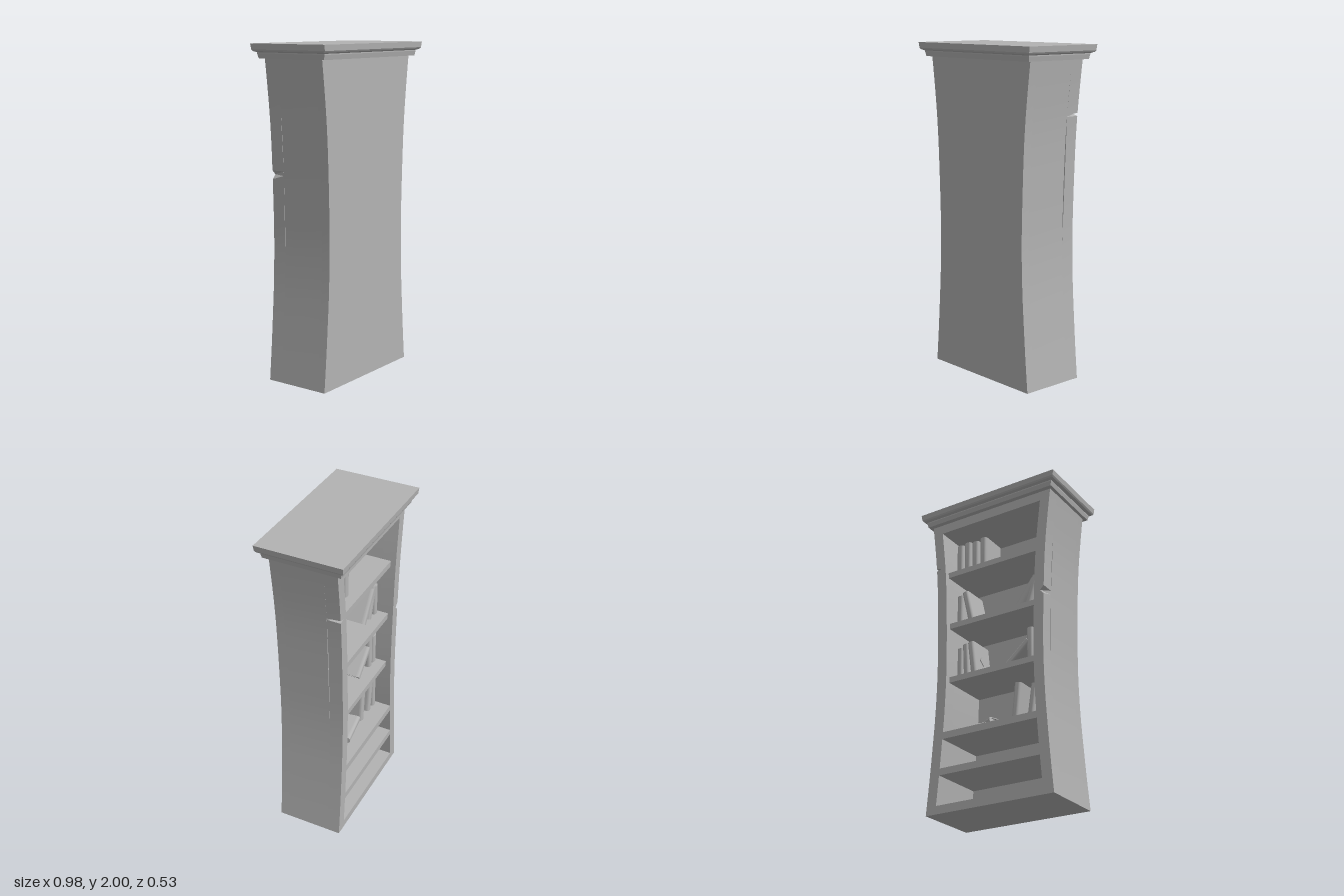
import * as THREE from 'three';
import { toCreasedNormals, mergeGeometries } from 'three/addons/utils/BufferGeometryUtils.js';

const stone = new THREE.MeshStandardMaterial({ color: 0xb3b3b3 });
stone.name = 'plain grey';

const WALL = 0.065, TOP = 1.925;
const FRONT = -0.205, NOTCH_END = -0.12, INNER_BACK = 0.15, BACK = 0.205;

// Waisted half width of the case, as a curve over height
const waist = new THREE.SplineCurve([
  [0.422, 0], [0.404, 0.2], [0.389, 0.4], [0.376, 0.6], [0.369, 0.85],
  [0.373, 1.1], [0.384, 1.4], [0.398, 1.6], [0.42, 1.8], [0.436, TOP],
].map(([x, y]) => new THREE.Vector2(x, y))).getPoints(72);

function halfWidth(y) {
  const i = Math.max(1, waist.findIndex((p) => p.y >= y - 1e-9));
  const a = waist[i - 1], b = waist[i];
  return a.x + (b.x - a.x) * (y - a.y) / (b.y - a.y);
}

// Side edge points from y0 up to y1, set in from the waist curve
function edge(y0, y1, inset, sign) {
  const n = Math.max(2, Math.ceil((y1 - y0) / 0.08));
  return Array.from({ length: n + 1 }, (_, i) => {
    const y = y0 + (y1 - y0) * i / n;
    return new THREE.Vector2(sign * (halfWidth(y) - inset), y);
  });
}

// Chips in the front edges of the two sides
const notches = [
  { sign: 1, y: 1.597, half: 0.009, deep: 0.035 },
  { sign: -1, y: 1.24, half: 0.026, deep: 0.025 },
];

function outline(notched) {
  const side = (sign) => {
    let pts = edge(0, TOP, 0, sign);
    for (const n of notches.filter((k) => notched && k.sign === sign)) {
      pts = pts.filter((p) => Math.abs(p.y - n.y) > n.half + 0.004);
      for (const dy of [-n.half, 0, n.half]) {
        pts.push(new THREE.Vector2(sign * (halfWidth(n.y + dy) - (dy ? 0 : n.deep)), n.y + dy));
      }
      pts.sort((a, b) => a.y - b.y);
    }
    return pts;
  };
  return [...side(1), ...side(-1).reverse()];
}

function slab(z0, z1, open, notched) {
  const shape = new THREE.Shape(outline(notched));
  if (open) {
    for (const [a, b] of [[0.05, 0.229], [0.27, 0.448], [0.49, 1.855]]) {
      shape.holes.push(new THREE.Path([...edge(a, b, WALL, 1), ...edge(a, b, WALL, -1).reverse()]));
    }
  }
  const geo = new THREE.ExtrudeGeometry(shape, { depth: z1 - z0, bevelEnabled: false });
  geo.translate(0, 0, z0);
  // The chips run out to nothing at the rear of the slab
  const p = geo.attributes.position;
  for (let i = 0; notched && i < p.count; i++) {
    for (const n of notches) {
      const tip = n.sign * (halfWidth(n.y) - n.deep);
      if (Math.abs(p.getY(i) - n.y) < 1e-4 && Math.abs(p.getX(i) - tip) < 1e-4 && p.getZ(i) > z1 - 1e-4) {
        p.setX(i, n.sign * halfWidth(n.y));
      }
    }
  }
  return toCreasedNormals(geo, 0.3);
}

// Stacked rectangular rings [y, half x, half z], closed at both ends
function ringStack(rings) {
  const pos = [], idx = [];
  for (const [y, x, z] of rings) pos.push(x, y, z, x, y, -z, -x, y, -z, -x, y, z);
  for (let r = 0; r < rings.length - 1; r++) {
    for (let k = 0; k < 4; k++) {
      const a = r * 4 + k, b = r * 4 + (k + 1) % 4;
      idx.push(a, b, b + 4, a, b + 4, a + 4);
    }
  }
  const t = (rings.length - 1) * 4;
  idx.push(0, 2, 1, 0, 3, 2, t, t + 1, t + 2, t, t + 2, t + 3);
  const geo = new THREE.BufferGeometry();
  geo.setAttribute('position', new THREE.Float32BufferAttribute(pos, 3));
  geo.setIndex(idx);
  const flat = geo.toNonIndexed();
  flat.computeVertexNormals();
  return flat;
}

// Book standing on y = 0: rounded spine towards -z, two covers and a page block
function bookGeometry(h, t, d) {
  const c = 0.006, r = t / 2, z0 = -d / 2;
  const s = new THREE.Shape();
  s.moveTo(-r, -(z0 + 0.02));
  s.quadraticCurveTo(-r, -z0, 0, -z0);
  s.quadraticCurveTo(r, -z0, r, -(z0 + 0.02));
  s.closePath();
  const spine = new THREE.ExtrudeGeometry(s, { depth: h, bevelEnabled: false, curveSegments: 5 });
  spine.rotateX(-Math.PI / 2);
  const parts = [toCreasedNormals(spine, 0.7)];
  const box = (w, hh, dd, x, y, z) =>
    parts.push(new THREE.BoxGeometry(w, hh, dd).translate(x, y, z).toNonIndexed());
  for (const sx of [-1, 1]) box(c, h, d - 0.02, sx * (r - c / 2), h / 2, 0.01);
  box(t - 2 * c, h - 0.016, d - 0.028, 0, h / 2, 0.006);
  return mergeGeometries(parts);
}

export function createModel() {
  const model = new THREE.Group();
  const add = (name, geo, parent = model) => {
    const m = new THREE.Mesh(geo, stone);
    m.name = name;
    parent.add(m);
    return m;
  };

  // Case
  add('frontFrame', slab(FRONT, NOTCH_END, true, true));
  add('caseWalls', slab(NOTCH_END, INNER_BACK, true, false));
  add('backPanel', slab(INNER_BACK, BACK, false, false));

  // Cornice
  add('cornice', ringStack([
    [1.916, 0.455, 0.234], [1.944, 0.461, 0.24], [1.95, 0.461, 0.24],
    [1.957, 0.48, 0.256], [1.966, 0.486, 0.262], [2, 0.491, 0.265],
  ]));

  // Shelves, ends set into the walls
  for (const y of [1.572, 1.21, 0.85]) {
    const z0 = -0.172, z1 = INNER_BACK + 0.01;
    const geo = new THREE.BoxGeometry(2 * halfWidth(y) - 0.09, 0.036, z1 - z0);
    add('shelf', geo.translate(0, y - 0.018, (z0 + z1) / 2));
  }

  // Books: shelf height, x, lean (positive tips towards -x), height, thickness
  const books = [
    [1.572, 0.292, 0, 0.22, 0.05], [1.572, 0.235, 0, 0.225, 0.05],
    [1.572, 0.177, 0, 0.215, 0.05], [1.572, 0.117, 0, 0.225, 0.05],
    [1.21, 0.284, 0, 0.215, 0.045], [1.21, 0.195, -0.23, 0.235, 0.045],
    [1.21, -0.282, 0, 0.2, 0.042], [1.21, -0.2, 0.3, 0.21, 0.042],
    [1.21, -0.125, 0.62, 0.22, 0.042],
    [0.85, 0.277, 0, 0.21, 0.042], [0.85, 0.228, -0.05, 0.23, 0.042],
    [0.85, 0.173, -0.12, 0.235, 0.045],
    [0.85, -0.275, 0, 0.2, 0.045], [0.85, -0.22, 0, 0.225, 0.045],
    [0.85, -0.055, 0.85, 0.2, 0.042],
    [0.49, -0.285, 0, 0.21, 0.042], [0.49, -0.215, 0.14, 0.22, 0.042],
    [0.49, -0.11, 0.1, 0.25, 0.045],
  ];
  const depth = 0.168, bookZ = -0.026;
  books.forEach(([y, x, lean, h, t], i) => {
    const b = add('book', bookGeometry(h, t, depth));
    b.position.set(x, y + t / 2 * Math.sin(Math.abs(lean)), bookZ);
    b.rotation.z = lean;
    // Diamond plate on one cover
    if (i === 11) {
      const d = new THREE.CylinderGeometry(0.034, 0.034, 0.006, 4).rotateZ(Math.PI / 2);
      add('coverDiamond', d.translate(-t / 2 - 0.002, h * 0.52, 0.005), b);
    }
  });

  // Two fallen books, one resting on the other
  for (const [x, y, z, tilt, turn] of [[-0.075, 0.513, -0.02, 0, 0.15], [0.05, 0.562, 0.0, 0.24, -0.3]]) {
    const holder = new THREE.Group();
    holder.name = 'fallenBook';
    const b = add('book', bookGeometry(0.22, 0.042, depth), holder);
    b.rotation.z = -Math.PI / 2 - tilt;
    holder.position.set(x, y, z);
    holder.rotation.y = turn;
    model.add(holder);
  }
  return model;
}
